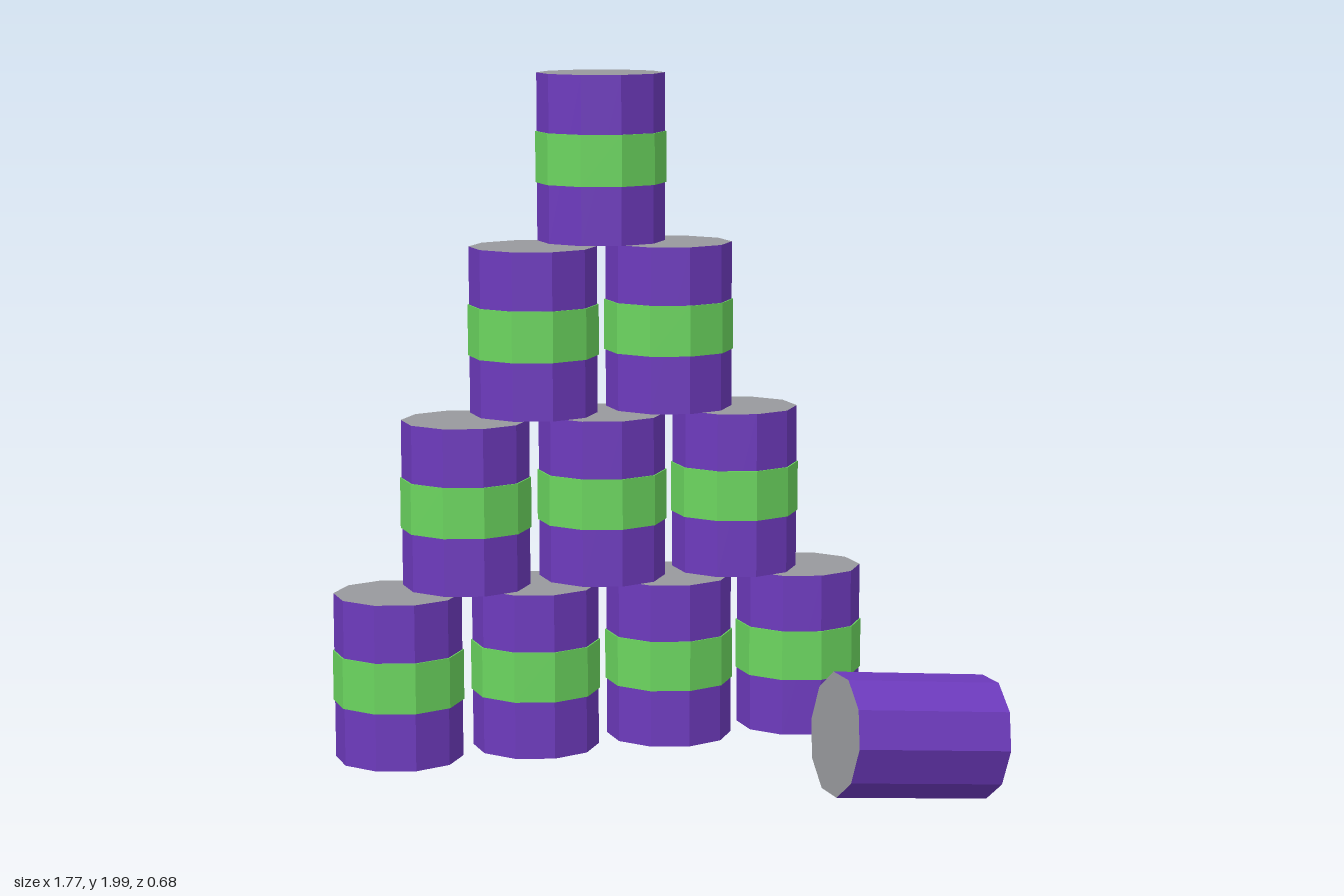
import * as THREE from 'three';

const SIDES = 10, RADIUS = 0.172, HEIGHT = 0.45;
const BAND_RADIUS = 0.176, BAND_HEIGHT = 0.137, BAND_OFFSET = 0;

function material(name, color) {
  const m = new THREE.MeshStandardMaterial({ color, flatShading: true });
  m.name = name;
  return m;
}

export function createModel() {
  const model = new THREE.Group();
  model.name = 'canPyramid';

  const purple = material('purple', 0x6d3abd);
  const green = material('green', 0x6bd55f);
  const grey = material('grey', 0x98999d);

  const bodyGeometry = new THREE.CylinderGeometry(RADIUS, RADIUS, HEIGHT, SIDES);
  const bandGeometry = new THREE.CylinderGeometry(BAND_RADIUS, BAND_RADIUS, BAND_HEIGHT, SIDES);

  // Can with a purple wall and grey ends
  function makeBody(name) {
    const body = new THREE.Mesh(bodyGeometry, [purple, grey, grey]);
    body.name = name;
    return body;
  }

  // Stacked rows of four, three, two and one banded cans
  const pitchX = 0.386, pitchY = 0.46;
  for (let row = 0; row < 4; row++) {
    const count = 4 - row;
    for (let i = 0; i < count; i++) {
      const can = new THREE.Group();
      can.name = `can${row + 1}_${i + 1}`;
      const band = new THREE.Mesh(bandGeometry, green);
      band.name = 'band';
      band.position.y = BAND_OFFSET;
      can.add(makeBody('canBody'), band);
      can.position.set(-0.139 + (i - (count - 1) / 2) * pitchX, 0.395 + row * pitchY, -0.163);
      model.add(can);
    }
  }

  // Plain can fallen on its side in front, slightly tilted
  const fallen = makeBody('fallenCan');
  fallen.position.set(0.64, 0.19, 0.172);
  fallen.rotation.z = -Math.PI / 2 - 0.098;
  model.add(fallen);

  return model;
}
